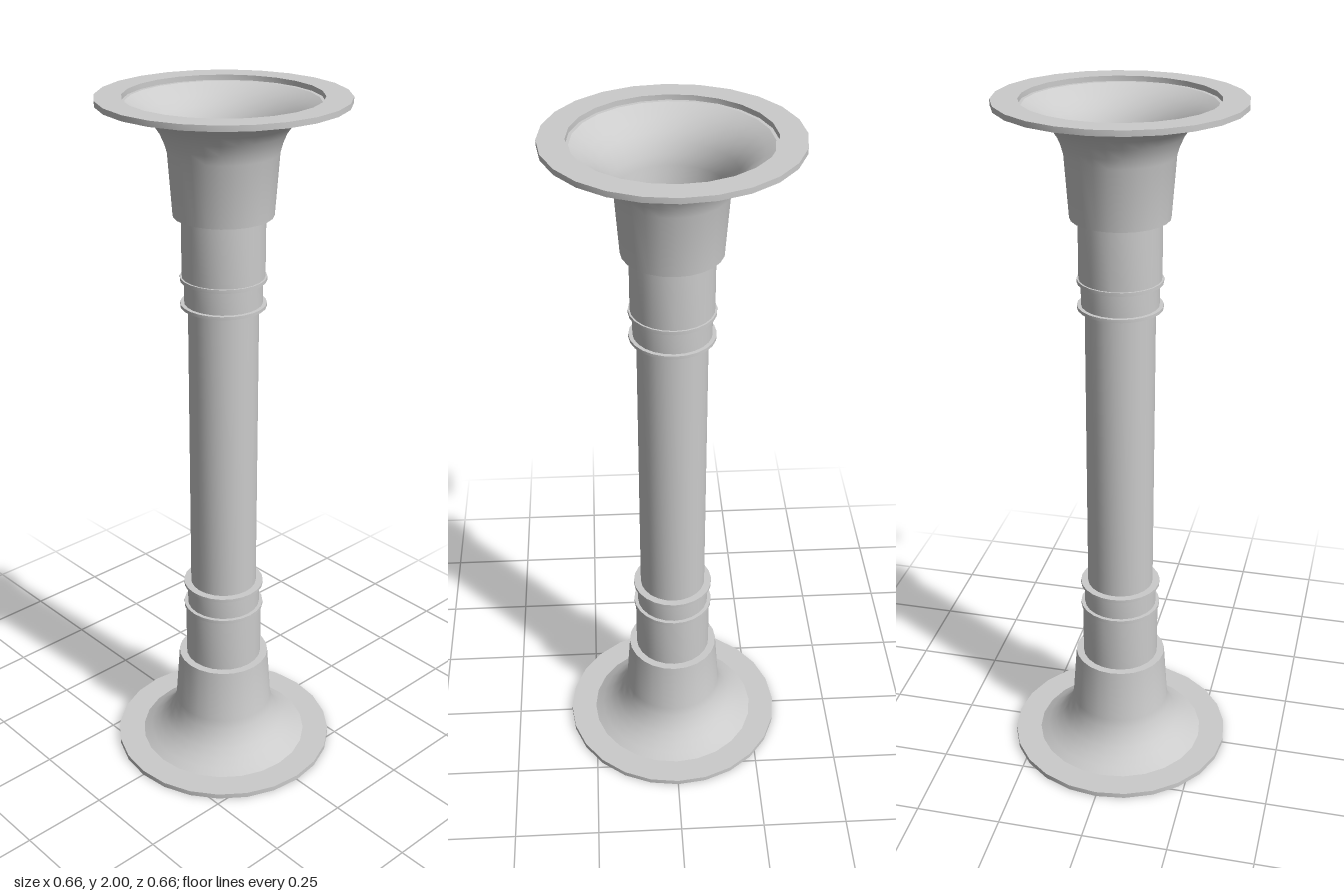
import * as THREE from 'three';
import { toCreasedNormals } from 'three/addons/utils/BufferGeometryUtils.js';

const SIDES = 24;
const material = new THREE.MeshStandardMaterial({ color: 0xcccccc, side: THREE.DoubleSide });

// Turn a profile of [radius, y] points, listed from bottom to top, around the y axis
function turned(name, profile) {
  const points = profile.map(([r, y]) => new THREE.Vector2(r, y));
  const geometry = toCreasedNormals(new THREE.LatheGeometry(points, SIDES), 0.55);
  const mesh = new THREE.Mesh(geometry, material);
  mesh.name = name;
  return mesh;
}

// Profiles of the upper half; the lower half repeats them upside down
const parts = {
  // stepped sleeve with two thin beads
  collar: [
    [0.097, 1.437], [0.118, 1.437], [0.118, 1.446], [0.107, 1.446],
    [0.107, 1.511], [0.118, 1.511], [0.118, 1.521], [0.113, 1.521],
    [0.113, 1.69],
  ],
  // flared bell, open inside, with a flat shoulder onto the collar
  bell: [
    [0.113, 1.69], [0.135, 1.69], [0.147, 1.857], [0.154, 1.882],
    [0.166, 1.91], [0.182, 1.933], [0.204, 1.955], [0.228, 1.972], [0.252, 1.985],
  ],
  // flat rim plate around the bell mouth
  flange: [
    [0.252, 1.985], [0.33, 1.985], [0.33, 2], [0.26, 2], [0.26, 1.986],
  ],
};

export function createModel() {
  const model = new THREE.Group();
  model.name = 'flangedColumn';

  // hollow central pipe
  model.add(turned('pipe', [[0.097, 0.563], [0.097, 1.437]]));

  const upper = new THREE.Group();
  const lower = new THREE.Group();
  upper.name = 'upperEnd';
  lower.name = 'lowerEnd';
  for (const [name, profile] of Object.entries(parts)) {
    upper.add(turned(name, profile));
    lower.add(turned(name, profile.map(([r, y]) => [r, 2 - y]).reverse()));
  }
  model.add(upper, lower);
  return model;
}
